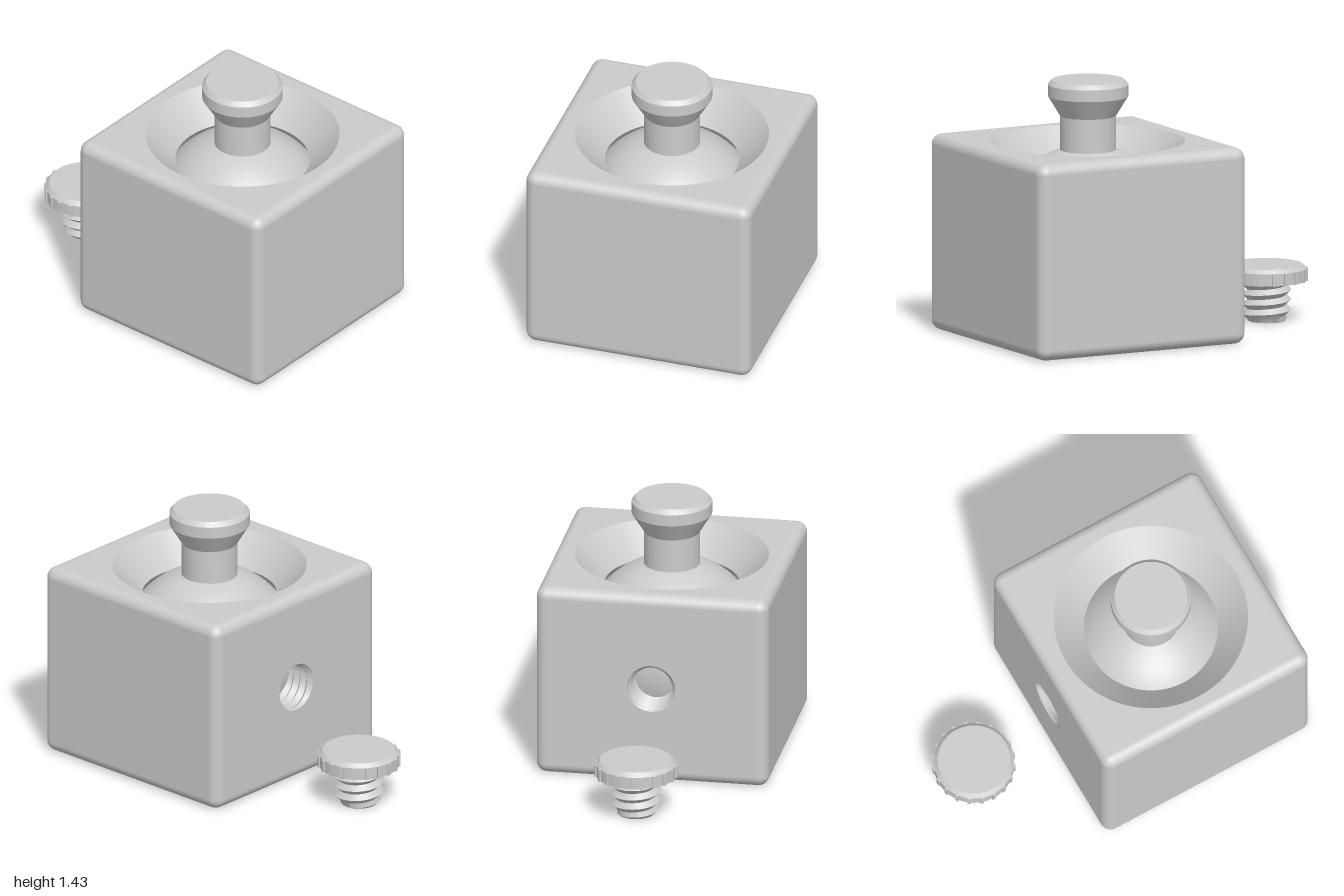
import * as THREE from 'three';
import { toCreasedNormals } from 'three/addons/utils/BufferGeometryUtils.js';
import { RoundedBoxGeometry } from 'three/addons/geometries/RoundedBoxGeometry.js';

const SEG = 72;
const material = new THREE.MeshStandardMaterial({ color: 0xcccccc });
const doubleSided = new THREE.MeshStandardMaterial({ color: 0xcccccc, side: THREE.DoubleSide });

function addMesh(parent, name, geometry, mat = material) {
  const mesh = new THREE.Mesh(geometry, mat);
  mesh.name = name;
  parent.add(mesh);
  return mesh;
}

// Lathe from [radius, y] pairs, with sharp profile corners kept sharp
function lathe(points) {
  const profile = points.map(([r, y]) => new THREE.Vector2(r, y));
  return toCreasedNormals(new THREE.LatheGeometry(profile, SEG), 0.35);
}

// Profile points along a circle, angles measured up from the horizontal
function arc(radius, cy, from, to, steps = 32) {
  return Array.from({ length: steps + 1 }, (_, i) => {
    const a = from + (to - from) * i / steps;
    return [Math.max(0, radius * Math.cos(a)), cy + radius * Math.sin(a)];
  });
}

// Rectangular plate with a round hole
function holedPlate(w, h, r, cy = 0) {
  const shape = new THREE.Shape([[-1, -1], [1, -1], [1, 1], [-1, 1]]
    .map(([x, y]) => new THREE.Vector2(x * w / 2, y * h / 2)));
  shape.holes.push(new THREE.Path().absarc(0, cy, r, 0, Math.PI * 2, true));
  return new THREE.ShapeGeometry(shape, SEG / 2);
}

// Helical V thread along +y: rows alternate root and crest and climb one pitch per turn
function thread(length, pitch, rA, rB, limit, inside = false) {
  const rows = 2 * (Math.ceil(length / pitch) + 1);
  const geo = new THREE.PlaneGeometry(1, 1, SEG, rows);
  const pos = geo.attributes.position, uv = geo.attributes.uv;
  for (let i = 0; i < pos.count; i++) {
    const u = uv.getX(i), row = Math.round(uv.getY(i) * rows);
    const y = THREE.MathUtils.clamp((row / 2 - 1 + u) * pitch, 0, length);
    const r = limit(row % 2 ? rB : rA, y);
    const a = (inside ? -1 : 1) * u * Math.PI * 2;
    pos.setXYZ(i, r * Math.sin(a), y, r * Math.cos(a));
  }
  return toCreasedNormals(geo, 0.6);
}

// Rounded box shell with its flat top and -x panels left out
function openShell(w, h, d, radius) {
  const box = new RoundedBoxGeometry(w, h, d, 6, radius);
  const src = box.index ? box.toNonIndexed() : box;
  const p = src.attributes.position, n = src.attributes.normal;
  const positions = [], normals = [];
  for (let i = 0; i < p.count; i += 3) {
    const tri = [i, i + 1, i + 2];
    if (tri.every(k => n.getY(k) > 0.9999) || tri.every(k => n.getX(k) < -0.9999)) continue;
    for (const k of tri) {
      positions.push(p.getX(k), p.getY(k), p.getZ(k));
      normals.push(n.getX(k), n.getY(k), n.getZ(k));
    }
  }
  const geo = new THREE.BufferGeometry();
  geo.setAttribute('position', new THREE.Float32BufferAttribute(positions, 3));
  geo.setAttribute('normal', new THREE.Float32BufferAttribute(normals, 3));
  return geo;
}

function createBlock() {
  const block = new THREE.Group();
  block.name = 'socketBlock';
  const w = 1.3, h = 1.095, round = 0.06, flat = w - 2 * round;
  const holeR = 0.135;

  addMesh(block, 'blockShell', openShell(w, h, w, round)).position.y = h / 2;
  addMesh(block, 'blockTop', holedPlate(flat, flat, 0.535).rotateX(-Math.PI / 2)).position.y = h;
  addMesh(block, 'screwHolePanel', holedPlate(flat, h - 2 * round, holeR).rotateY(-Math.PI / 2))
    .position.set(-w / 2, h / 2, 0);

  // Conical mouth leading down into the spherical socket
  const socketR = 0.515, cy = 0.57;
  addMesh(block, 'socket', lathe([[0.535, h],
    ...arc(socketR, cy, Math.acos(0.37 / socketR), -Math.PI / 2)]));

  // Threaded side hole, running in towards the ball
  const hole = addMesh(block, 'threadedHole',
    thread(0.17, 0.05, holeR, 0.112, (r, y) => Math.max(r, holeR - y), true), doubleSided);
  hole.rotation.z = -Math.PI / 2;
  hole.position.set(-w / 2, h / 2, 0);
  return block;
}

// Ball with a neck and a flared, chamfered head
function createBallStud() {
  const R = 0.5, cy = 0.57, neck = 0.155;
  return lathe([
    ...arc(R, cy, -Math.PI / 2, Math.acos(neck / R)),
    [neck, 1.235], [0.222, 1.345], [0.222, 1.41], [0.2, 1.435], [0, 1.435],
  ]);
}

function createThumbScrew() {
  const screw = new THREE.Group();
  screw.name = 'thumbScrew';
  const bottom = 0.225, gripTop = 0.293, top = 0.315, r = 0.221;
  addMesh(screw, 'screwHead', lathe([[0, bottom], [r, bottom], [r, gripTop], [0.2, top], [0, top]]));

  // Grip ribs around the head
  const ribs = 20;
  const ribGeometry = new THREE.BoxGeometry(0.02, gripTop - bottom, 0.03);
  for (let i = 0; i < ribs; i++) {
    const a = i / ribs * Math.PI * 2;
    const rib = addMesh(screw, 'gripRib', ribGeometry);
    rib.position.set(0.215 * Math.sin(a), (bottom + gripTop) / 2, 0.215 * Math.cos(a));
    rib.rotation.y = a;
  }

  // Threaded shank with a chamfered tip
  const tip = 0.1;
  addMesh(screw, 'screwThread',
    thread(bottom, 0.055, 0.107, 0.135, (v, y) => Math.min(v, tip + y)), doubleSided);
  addMesh(screw, 'screwTip', new THREE.CircleGeometry(tip, SEG).rotateX(Math.PI / 2));
  return screw;
}

export function createModel() {
  const model = new THREE.Group();
  model.name = 'ballJointAndScrew';

  const joint = new THREE.Group();
  joint.name = 'ballJoint';
  joint.position.x = 0.35;
  joint.add(createBlock());
  addMesh(joint, 'ballStud', createBallStud());

  const screw = createThumbScrew();
  screw.position.x = -0.77;

  model.add(joint, screw);
  return model;
}
